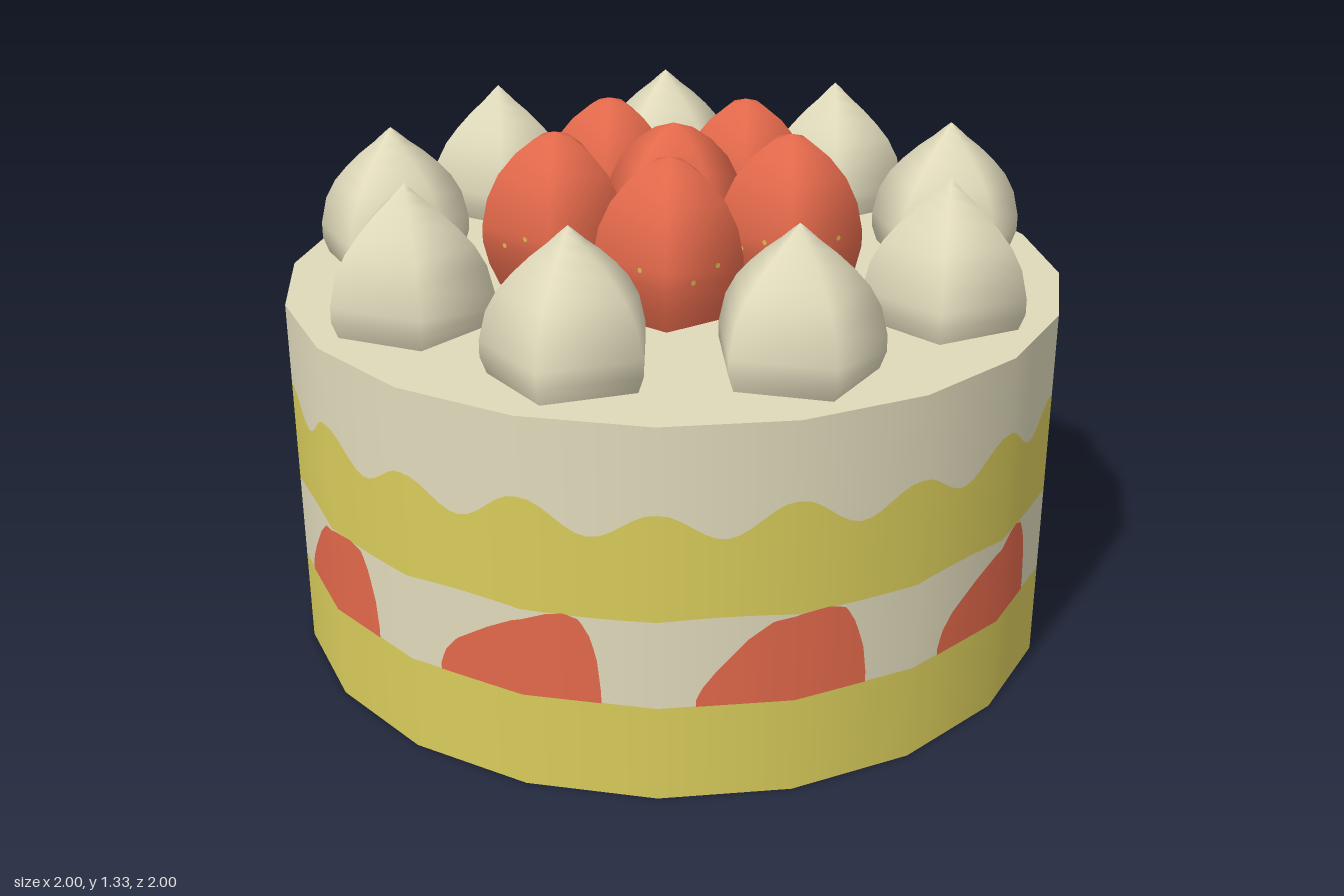
import * as THREE from 'three';

const SIDES = 20, TOP = 0.94, RAD = Math.PI / 180;

const paint = (name, color, side = THREE.FrontSide) => {
  const m = new THREE.MeshStandardMaterial({ color, side });
  m.name = name;
  return m;
};

// Radius of the twenty-sided cake wall at an angle in degrees (a corner faces +z)
function wallRadius(deg) {
  const step = 360 / SIDES;
  const d = (((deg % step) + step) % step) - step / 2;
  return Math.cos(Math.PI / SIDES) / Math.cos(d * RAD);
}

// Strip of wall between two height curves, smoothly shaded
function wallStrip(from, to, steps, low, high, lift = 0) {
  const pos = [], nor = [], idx = [];
  for (let i = 0; i <= steps; i++) {
    const deg = from + (to - from) * i / steps;
    const s = Math.sin(deg * RAD), c = Math.cos(deg * RAD), r = wallRadius(deg) + lift;
    for (const y of [low(deg), high(deg)]) {
      pos.push(s * r, y, c * r);
      nor.push(s, 0, c);
    }
    if (i < steps) {
      const a = 2 * i;
      idx.push(a, a + 2, a + 3, a, a + 3, a + 1);
    }
  }
  const g = new THREE.BufferGeometry();
  g.setAttribute('position', new THREE.Float32BufferAttribute(pos, 3));
  g.setAttribute('normal', new THREE.Float32BufferAttribute(nor, 3));
  g.setIndex(idx);
  return g;
}

// Height of a polyline profile [[x, y], ...] at x
function heightAt(profile, x) {
  for (let i = 1; i < profile.length; i++) {
    const [x0, y0] = profile[i - 1], [x1, y1] = profile[i];
    if (x <= x1) return y0 + (y1 - y0) * (x - x0) / (x1 - x0);
  }
  return profile[profile.length - 1][1];
}

const lathe = (pts) => new THREE.LatheGeometry(pts.map(([r, y]) => new THREE.Vector2(r, y)), 5);

export function createModel() {
  const root = new THREE.Group();
  root.name = 'cake';
  const cream = paint('cream', 0xe0dabb);
  const sponge = paint('sponge', 0xd9cc5b);
  const red = paint('strawberry red', 0xe3694b);
  const seedYellow = paint('seed yellow', 0xd8b850, THREE.DoubleSide);

  const add = (name, geo, mat, parent = root) => {
    const m = new THREE.Mesh(geo, mat);
    m.name = name;
    parent.add(m);
    return m;
  };

  // Layers of the wall, with the icing dripping in scallops
  const flat = (y) => () => y;
  const scallop = (d) => 0.702 + 0.037 * Math.cos(20 * d * RAD) - 0.008 * Math.cos(10 * d * RAD);
  const seam = (d) => 0.466 + 0.004 * Math.sin(10 * d * RAD);
  const ring = (name, low, high, mat) => add(name, wallStrip(0, 360, 240, low, high), mat);
  ring('lowerSponge', flat(0), flat(0.243), sponge);
  ring('creamFilling', flat(0.243), seam, cream);
  ring('upperSponge', seam, scallop, sponge);
  ring('icingDrip', scallop, flat(TOP), cream);

  // Flat top and underside
  const topDisc = add('icingTop', new THREE.CircleGeometry(1, SIDES), cream);
  topDisc.rotation.x = -Math.PI / 2;
  topDisc.position.y = TOP;
  add('underside', new THREE.CircleGeometry(1, SIDES), sponge).rotation.x = Math.PI / 2;

  // Strawberry slices showing in the filling
  const slices = [
    [[-11.8, 0.26], [-11, 0.29], [-9, 0.335], [-5, 0.41], [-1.7, 0.452], [2, 0.465], [6, 0.467], [8.5, 0.455], [10, 0.41], [11.3, 0.34], [11.8, 0.27]],
    [[-11.8, 0.26], [-11, 0.3], [-9, 0.34], [-4, 0.395], [0, 0.433], [4.7, 0.462], [7, 0.467], [9, 0.455], [10.5, 0.41], [11.5, 0.34], [11.8, 0.27]],
  ];
  for (let k = 0; k < 10; k++) {
    const mid = 16.8 + 36 * k, profile = slices[k % 5 === 4 ? 0 : (k % 5) % 2 ? 0 : 1];
    const high = (d) => heightAt(profile, d - mid);
    add('strawberrySlice', wallStrip(mid - 11.8, mid + 11.8, 48, flat(0.243), high, 0.002), red);
  }

  // Ring of piped cream peaks
  const peak = lathe([[0.19, TOP], [0.205, 0.98], [0.205, 1.02], [0.188, 1.09], [0.16, 1.14],
    [0.125, 1.18], [0.085, 1.218], [0.045, 1.25], [0.018, 1.275], [0, 1.29]]);
  for (let k = 0; k < 9; k++) {
    const a = Math.PI + k * 40 * RAD;
    const m = add('creamPeak', peak, cream);
    m.position.set(0.743 * Math.sin(a), 0, 0.743 * Math.cos(a));
    m.rotation.y = a;
  }

  // Whole strawberries: one in the middle, five around it
  const berry = lathe([[0.15, TOP], [0.176, 1.0], [0.19, 1.06], [0.19, 1.1], [0.175, 1.17],
    [0.145, 1.23], [0.1, 1.28], [0.05, 1.315], [0, 1.33]]);
  const seed = new THREE.CircleGeometry(0.007, 6);
  const addBerry = (x, z, turn) => {
    const g = new THREE.Group();
    g.name = 'strawberry';
    g.position.set(x, 0, z);
    g.rotation.y = turn;
    root.add(g);
    add('berryBody', berry, red, g);
    for (let f = 0; f < 5; f++) {
      const a = (36 + 72 * f) * RAD;
      for (const [side, y] of [[-0.035, 1.065], [0.035, 1.095]]) {
        const s = add('seed', seed, seedYellow, g);
        const r = 0.19 * Math.cos(36 * RAD) + 0.002;
        s.position.set(r * Math.sin(a) + side * Math.cos(a), y, r * Math.cos(a) - side * Math.sin(a));
        s.rotation.y = a;
      }
    }
  };
  addBerry(0, 0, 0);
  for (let k = 0; k < 5; k++) {
    const a = Math.PI + k * 72 * RAD;
    addBerry(0.31 * Math.sin(a), 0.31 * Math.cos(a), a);
  }
  return root;
}
